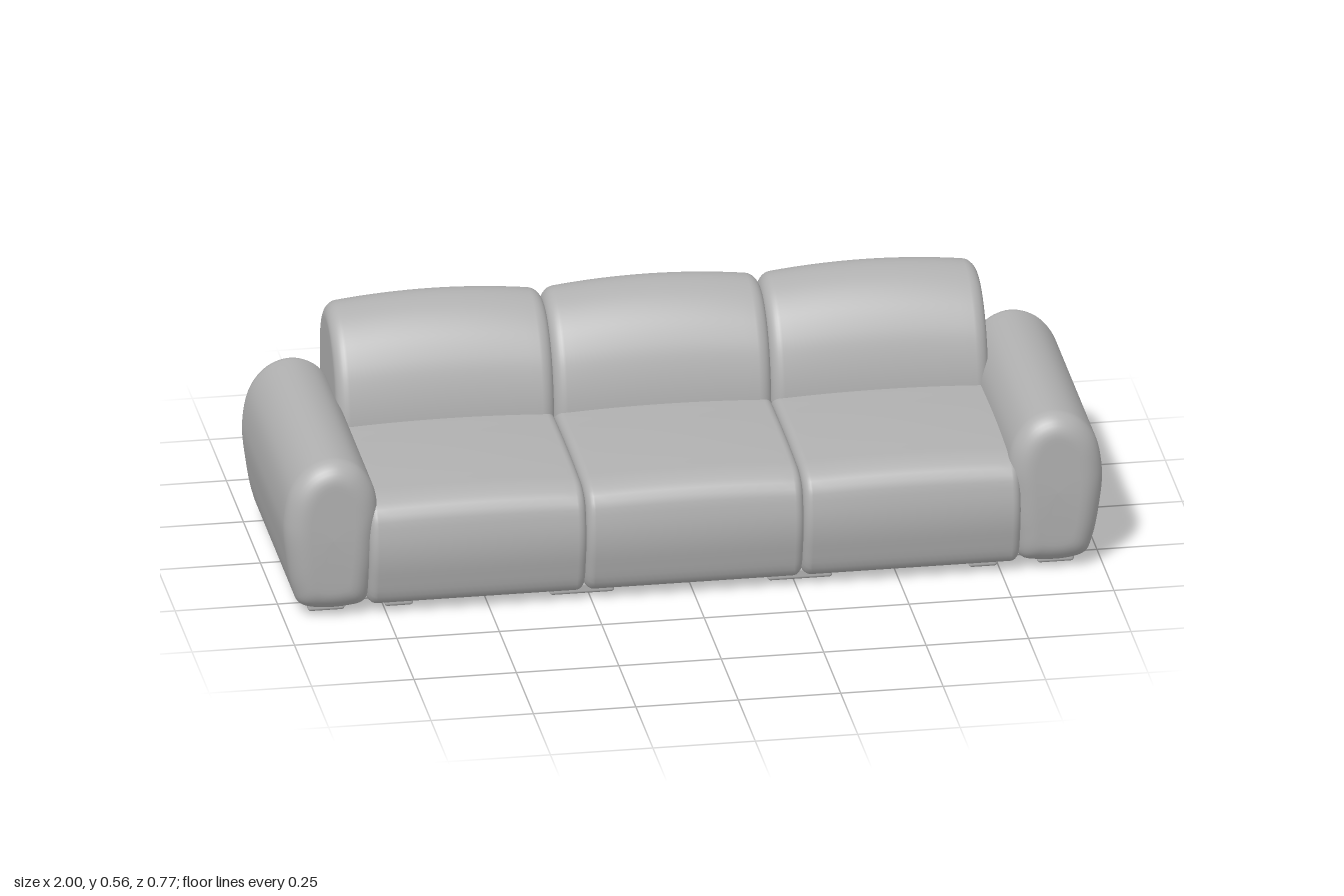
import * as THREE from 'three';
import { RoundedBoxGeometry } from 'three/addons/geometries/RoundedBoxGeometry.js';

// Upholstered block: a closed 2D outline swept along z, with rounded ends and a crowned top
function cushion(points, length, radius, crown) {
  const outline = new THREE.SplineCurve([...points, points[0]].map(([u, v]) => new THREE.Vector2(u, v)));
  const curve = new THREE.CatmullRomCurve3(points.map(([u, v]) => new THREE.Vector3(u, v, 0)), true, 'centripetal');
  let ring = curve.getSpacedPoints(96).slice(0, 96);
  if (THREE.ShapeUtils.isClockWise(ring)) ring = ring.reverse();
  const box = new THREE.Box3().setFromPoints(ring);
  const c = box.getCenter(new THREE.Vector3());
  const h = box.getSize(new THREE.Vector3()).multiplyScalar(0.5);
  const half = length / 2;

  // stations from the middle to one end: [z, inset, cap scale]
  const end = [];
  for (let i = 1; i <= 8; i++) end.push([(half - radius) * i / 8, 0, 1]);
  for (let i = 1; i <= 8; i++) {
    const a = i / 8 * Math.PI / 2;
    end.push([half - radius + radius * Math.sin(a), radius * (1 - Math.cos(a)), 1]);
  }
  for (const s of [0.9, 0.5, 0]) end.push([half, radius, s]);
  const stations = [...end.map(([z, i, s]) => [-z, i, s]).reverse(), [0, 0, 1], ...end];

  const pos = [], index = [], n = ring.length;
  stations.forEach(([z, inset, s], i) => {
    const t = z / half;
    ring.forEach((p, j) => {
      const up = Math.max(0, (p.y - c.y) / h.y);
      const u = c.x + (p.x - c.x) * (1 - inset / h.x) * s;
      const v = c.y + ((p.y - c.y) * (1 - inset / h.y) - crown * t * t * up) * s;
      pos.push(u, v, z);
      if (i < stations.length - 1) {
        const a = i * n + j, b = i * n + (j + 1) % n;
        index.push(a, b, b + n, a, b + n, a + n);
      }
    });
  });
  const g = new THREE.BufferGeometry();
  g.setAttribute('position', new THREE.Float32BufferAttribute(pos, 3));
  g.setIndex(index);
  g.computeVertexNormals();
  return g;
}

// Side outlines as [z, y]
const SEAT = [
  [0.355, 0.035], [0.376, 0.1], [0.385, 0.16], [0.381, 0.22], [0.364, 0.275], [0.325, 0.3],
  [0.25, 0.308], [0, 0.311], [-0.15, 0.3], [-0.2, 0.27], [-0.22, 0.15], [-0.2, 0.03],
  [-0.15, 0.017], [0.25, 0.017], [0.325, 0.021],
];
const BACK = [
  [-0.302, 0.04], [-0.318, 0.08], [-0.352, 0.205], [-0.373, 0.32], [-0.384, 0.42], [-0.381, 0.47],
  [-0.36, 0.518], [-0.325, 0.549], [-0.28, 0.56], [-0.222, 0.546], [-0.167, 0.505], [-0.128, 0.45],
  [-0.107, 0.4], [-0.09, 0.33], [-0.085, 0.26], [-0.1, 0.1], [-0.12, 0.04], [-0.16, 0.022], [-0.265, 0.022],
];
// Front outline of the arm as [x, y]
const ARM = [
  [0.8, 0.03], [0.785, 0.1], [0.776, 0.2], [0.77, 0.28], [0.784, 0.34], [0.822, 0.39],
  [0.877, 0.409], [0.935, 0.392], [0.98, 0.34], [0.999, 0.25], [0.991, 0.15], [0.976, 0.07],
  [0.96, 0.032], [0.92, 0.018], [0.84, 0.018],
];

export function createModel() {
  const model = new THREE.Group();
  const fabric = new THREE.MeshStandardMaterial({ color: 0xb0b0b0 });
  fabric.name = 'greyFabric';
  const add = (name, geometry, x = 0, y = 0, z = 0) => {
    const mesh = new THREE.Mesh(geometry, fabric);
    mesh.name = name;
    mesh.position.set(x, y, z);
    model.add(mesh);
  };

  // three seats and backs side by side
  const seat = cushion(SEAT, 0.53, 0.022, 0.008).rotateY(-Math.PI / 2);
  const back = cushion(BACK, 0.532, 0.032, 0.02).rotateY(-Math.PI / 2);
  ['right', 'middle', 'left'].forEach((side, i) => {
    add(side + 'Seat', seat, (i - 1) * 0.53);
    add(side + 'Back', back, (i - 1) * 0.53);
  });

  // arms, drawn in slightly at the bottom of both ends
  for (const s of [-1, 1]) {
    const arm = cushion(ARM.map(([x, y]) => [x * s, y]), 0.706, 0.055, 0);
    const p = arm.attributes.position;
    for (let i = 0; i < p.count; i++) {
      const low = Math.max(0, 1 - p.getY(i) / 0.25);
      p.setZ(i, p.getZ(i) * (1 - 0.05 * low * low));
    }
    arm.computeVertexNormals();
    add(s > 0 ? 'leftArm' : 'rightArm', arm, 0, 0, 0.027);
  }

  // low feet: under the arms, the outer seats and the seams
  for (const [x, width] of [[0.89, 0.09], [0.713, 0.07], [0.266, 0.158]]) {
    const foot = new RoundedBoxGeometry(width, 0.03, 0.042, 3, 0.008);
    for (const s of [-1, 1]) {
      add('frontFoot', foot, x * s, 0.015, 0.29);
      add('backFoot', foot, x * s, 0.015, -0.237);
    }
  }
  return model;
}
